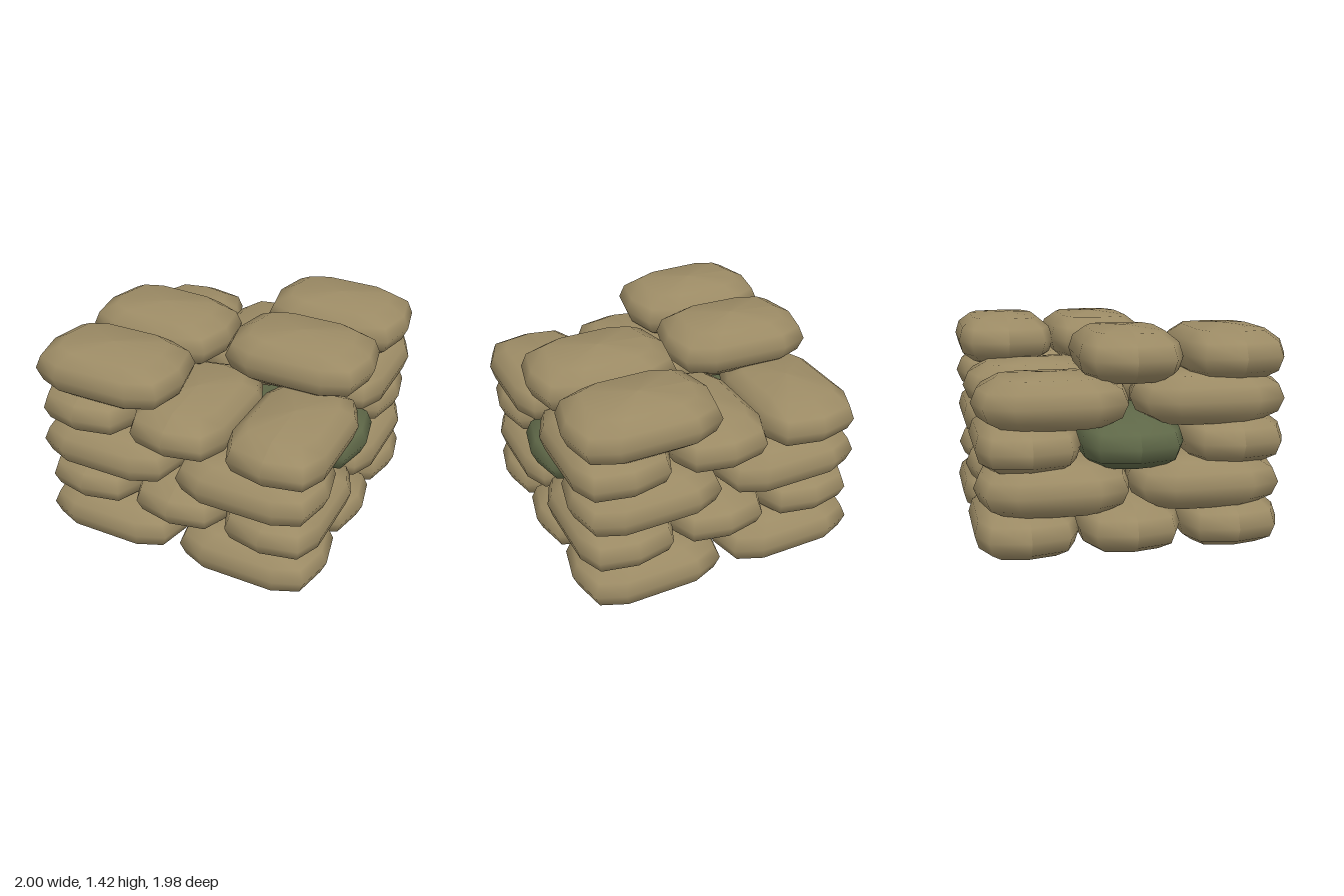
import * as THREE from 'three';

// Stuffed bag: a coarse sphere squared off in plan, long in x, pole up
function bagGeometry(halfLength, halfHeight, halfWidth) {
  const geometry = new THREE.SphereGeometry(1, 10, 6);
  const p = geometry.attributes.position;
  const square = (v) => (Math.abs(v) < 1e-6 ? 0 : Math.sign(v) * Math.abs(v) ** 0.55);
  for (let i = 0; i < p.count; i++) {
    const y = p.getY(i);
    const r = Math.hypot(p.getX(i), p.getZ(i));
    const c = r > 1e-6 ? p.getX(i) / r : 0;
    const s = r > 1e-6 ? p.getZ(i) / r : 0;
    const spread = square(r);
    p.setXYZ(i, square(c) * spread * halfLength, y * halfHeight, square(s) * spread * halfWidth);
  }
  geometry.computeVertexNormals();
  return geometry;
}

export function createModel() {
  const sand = new THREE.MeshStandardMaterial({ color: 0x9c8b65 });
  sand.name = 'sand canvas';
  const olive = new THREE.MeshStandardMaterial({ color: 0x5f6848 });
  olive.name = 'olive canvas';

  const model = new THREE.Group();
  model.name = 'sandbagStack';
  const geometry = bagGeometry(0.493, 0.175, 0.334);

  function addBag(parent, name, x, z, yaw, material = sand) {
    const bag = new THREE.Mesh(geometry, material);
    bag.name = name;
    bag.position.set(x, 0, z);
    bag.rotation.y = yaw;
    parent.add(bag);
  }

  // Courses: bag centres along and across, alternating in direction
  const courses = [
    { y: 0.175, along: [-0.49, 0.495], across: [-0.66, -0.005, 0.645] },
    { y: 0.445, along: [-0.485, 0.485], across: [-0.635, 0.01, 0.65], turned: true },
    { y: 0.715, along: [-0.495, 0.49], across: [-0.645, 0.01, 0.665] },
    { y: 0.985, along: [-0.49, 0.505], across: [-0.64, 0.005, 0.67], turned: true },
  ];
  courses.forEach(({ y, along, across, turned }, level) => {
    const course = new THREE.Group();
    course.name = `course${level + 1}`;
    course.position.y = y;
    model.add(course);
    for (const a of along) {
      across.forEach((b, i) => {
        // the middle bags of the third course are olive
        const material = level === 2 && i === 1 ? olive : sand;
        if (turned) addBag(course, 'crosswiseBag', b, a, Math.PI / 2, material);
        else addBag(course, 'lengthwiseBag', a, b, 0, material);
      });
    }
  });

  // Top course with two opposite corners left open
  const top = new THREE.Group();
  top.name = 'topCourse';
  top.position.y = 1.248;
  model.add(top);
  const topBags = [[-0.495, 0.01, -0.05], [-0.507, 0.655, 0.01], [0.505, -0.655, -0.01], [0.492, -0.02, 0]];
  for (const [x, z, yaw] of topBags) addBag(top, 'topBag', x, z, yaw);

  return model;
}
